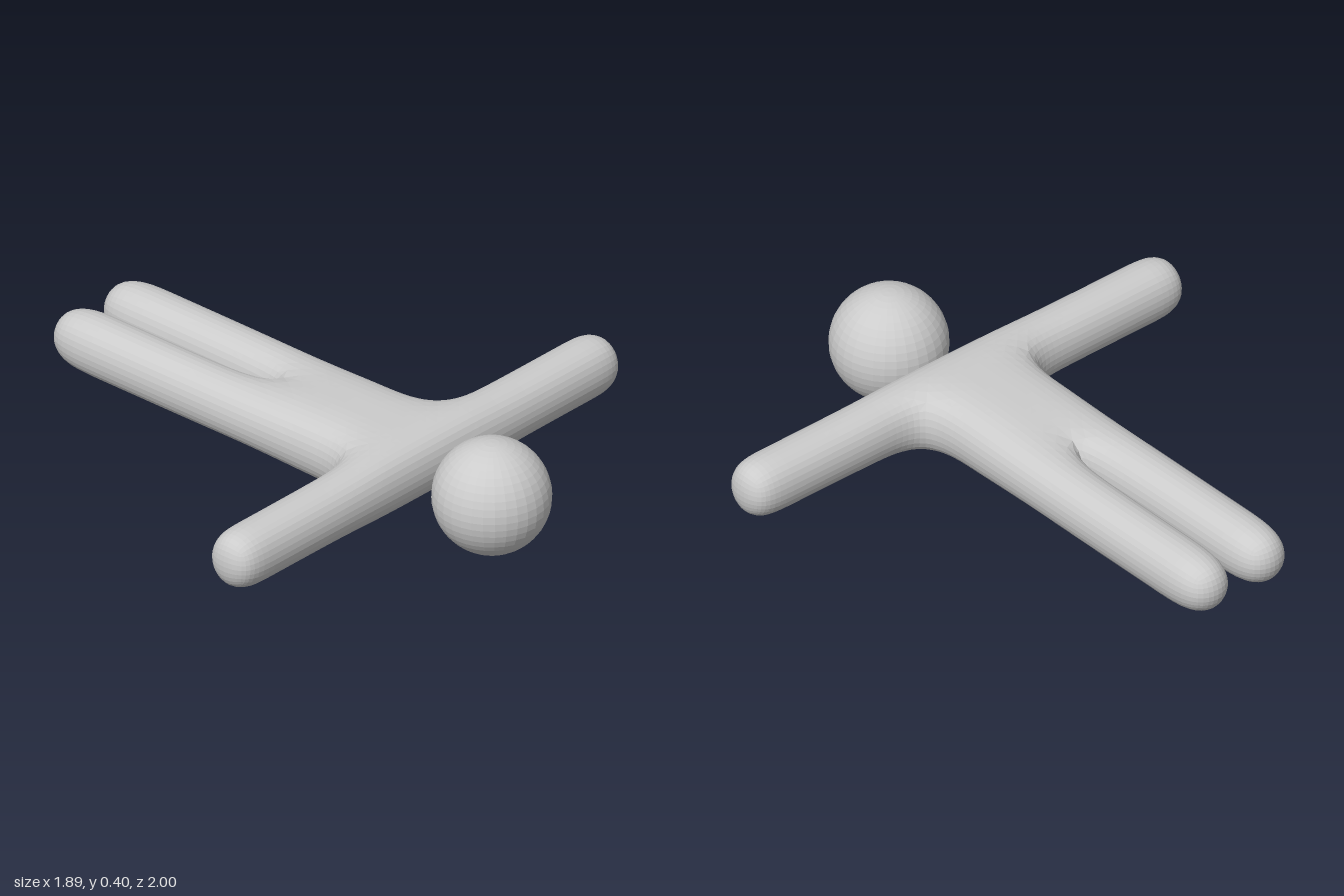
import * as THREE from 'three';

const CENTRE_Y = 0.2;

// One Catmull-Clark step on a closed quad mesh
function subdivide({ points, quads }) {
  const out = points.map(() => new THREE.Vector3());
  const faceSum = points.map(() => new THREE.Vector3());
  const midSum = points.map(() => new THREE.Vector3());
  const valence = points.map(() => 0);
  const edges = new Map();

  const faceIds = quads.map((q) => {
    const centre = new THREE.Vector3();
    q.forEach((i) => centre.addScaledVector(points[i], 0.25));
    q.forEach((a, k) => {
      const b = q[(k + 1) % 4];
      const key = Math.min(a, b) + '_' + Math.max(a, b);
      if (!edges.has(key)) edges.set(key, { a, b, centres: [] });
      edges.get(key).centres.push(centre);
      faceSum[a].add(centre);
      valence[a]++;
    });
    return out.push(centre) - 1;
  });

  for (const edge of edges.values()) {
    const mid = points[edge.a].clone().add(points[edge.b]).multiplyScalar(0.5);
    midSum[edge.a].add(mid);
    midSum[edge.b].add(mid);
    const p = mid.clone().multiplyScalar(0.5);
    edge.centres.forEach((c) => p.addScaledVector(c, 0.25));
    edge.id = out.push(p) - 1;
  }

  points.forEach((p, i) => {
    const n = valence[i];
    out[i].copy(p).multiplyScalar((n - 3) / n)
      .addScaledVector(faceSum[i], 1 / (n * n))
      .addScaledVector(midSum[i], 2 / (n * n));
  });

  const edgeId = (a, b) => edges.get(Math.min(a, b) + '_' + Math.max(a, b)).id;
  const next = [];
  quads.forEach((q, f) => q.forEach((v, k) => {
    next.push([v, edgeId(v, q[(k + 1) % 4]), faceIds[f], edgeId(q[(k + 3) % 4], v)]);
  }));
  return { points: out, quads: next };
}

// Coarse cage: a plan of cells, one layer thick
function bodyCage() {
  const xs = [-0.957, -0.8, -0.4, -0.23, -0.017, 0.017, 0.23, 0.4, 0.8, 0.957];
  const zs = [0.565, 0.355, 0.15, -0.1, -0.36, -0.78, -1.018];
  const points = [], quads = [], ids = new Map();

  // Plan corner -> index of its bottom point; the top point follows it
  const corner = (i, j) => {
    const joined = j <= 3 && (i === 4 || i === 5); // legs meet at the crotch
    const key = (joined ? 'mid' : i) + '_' + j;
    if (!ids.has(key)) {
      const x = joined ? 0 : xs[i];
      const half = j < 3 && Math.abs(x) < 0.25 ? 0.124 : 0.112;
      ids.set(key, points.length);
      points.push(new THREE.Vector3(x, -half, zs[j]), new THREE.Vector3(x, half, zs[j]));
    }
    return ids.get(key);
  };

  const cells = [];
  const addCell = (i, j) =>
    cells.push([corner(i, j), corner(i + 1, j), corner(i + 1, j + 1), corner(i, j + 1)]);
  for (const i of [0, 1, 2, 3, 5, 6, 7, 8]) addCell(i, 0); // arms and shoulders
  for (let j = 1; j < 6; j++) [3, 5].forEach((i) => addCell(i, j)); // torso and legs

  // Top and bottom of each cell, and walls along the outline
  const directed = new Set();
  const eachEdge = (fn) => cells.forEach((c) => c.forEach((a, k) => fn(a, c[(k + 1) % 4])));
  eachEdge((a, b) => directed.add(a + '_' + b));
  cells.forEach((c) => quads.push(c.map((v) => v + 1), [...c].reverse()));
  eachEdge((a, b) => {
    if (!directed.has(b + '_' + a)) quads.push([a, b, b + 1, a + 1]);
  });
  return { points, quads };
}

function bodyGeometry() {
  let mesh = bodyCage();
  for (let k = 0; k < 3; k++) mesh = subdivide(mesh);
  const geometry = new THREE.BufferGeometry().setFromPoints(mesh.points);
  geometry.setIndex(mesh.quads.flatMap(([a, b, c, d]) => [a, b, c, a, c, d]));
  geometry.computeVertexNormals();
  return geometry;
}

export function createModel() {
  const group = new THREE.Group();
  group.name = 'lyingFigure';
  const material = new THREE.MeshStandardMaterial({ color: 0xcccccc, flatShading: true });

  // Torso, arms and legs in one smooth skin
  const body = new THREE.Mesh(bodyGeometry(), material);
  body.name = 'body';
  body.position.y = CENTRE_Y;

  // Separate round head, floating ahead of the shoulders
  const head = new THREE.Mesh(new THREE.SphereGeometry(0.2, 32, 24), material);
  head.name = 'head';
  head.position.set(0, CENTRE_Y, 0.8);

  group.add(body, head);
  return group;
}
